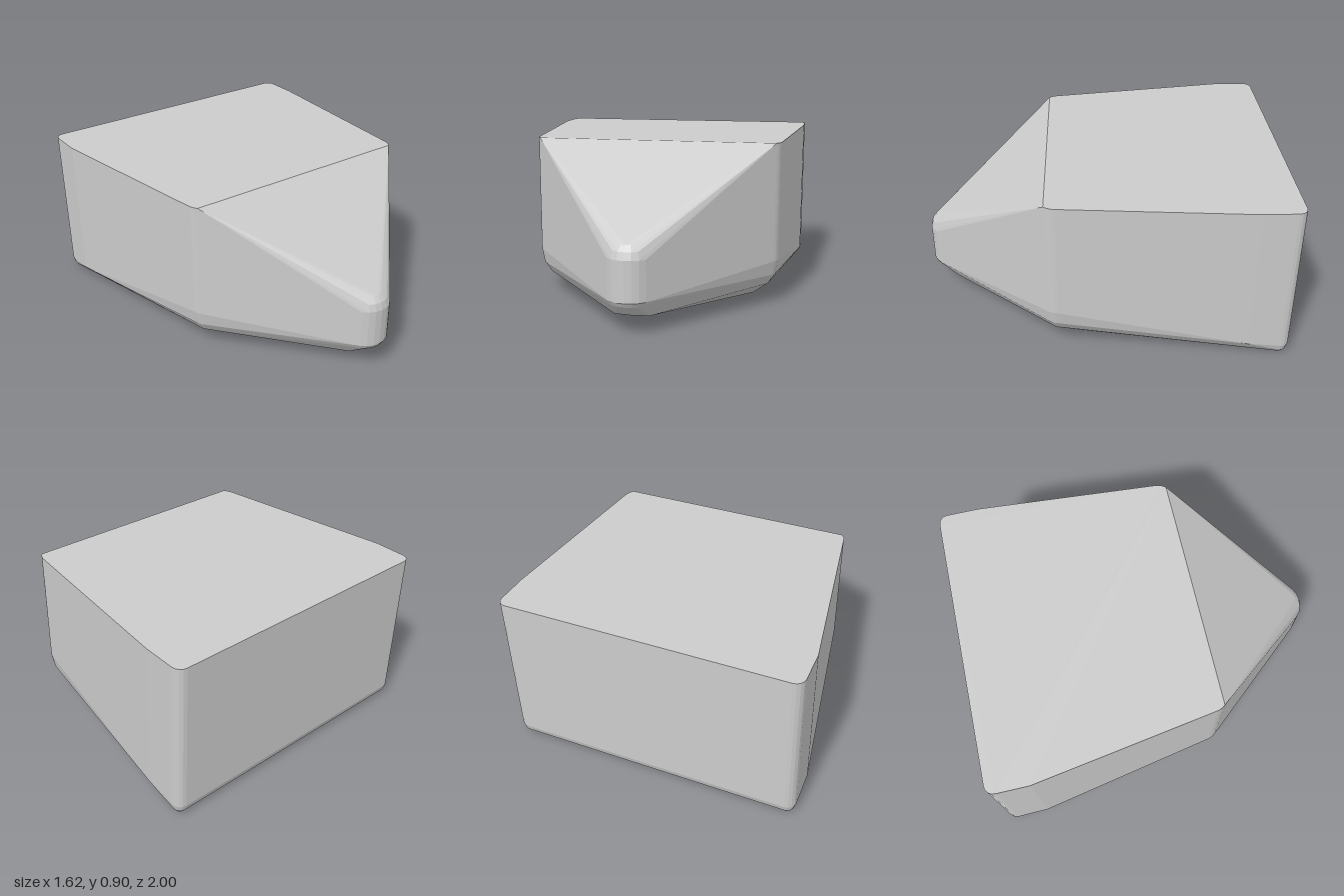
import * as THREE from 'three';
import { ConvexGeometry } from 'three/addons/geometries/ConvexGeometry.js';

export function createModel() {
  const points = [];
  const add = (x, y, z) => points.push(new THREE.Vector3(x, y, z));

  // Rounded vertical corner: rings of [height, radius]; angles run from +x towards +z
  function corner(cx, cz, from, to, rings, steps = 4) {
    for (const [y, r] of rings) {
      for (let i = 0; i <= steps; i++) {
        const a = THREE.MathUtils.degToRad(from + (to - from) * i / steps);
        add(cx + r * Math.cos(a), y, cz + r * Math.sin(a));
      }
    }
  }

  // Back corners and the short straight sides in front of them
  const backRings = [[0.9, 0.05], [0.06, 0.05], [0.025, 0.04], [0, 0.02]];
  corner(0.76, -0.95, 0, -90, backRings);
  corner(-0.76, -0.95, 180, 270, backRings);
  for (const s of [-1, 1]) {
    add(s * 0.81, 0.9, -0.77);
    add(s * 0.81, 0.08, -0.77);
  }

  // Shoulders, where the sides turn in towards the nose
  const shoulderRings = [[0.9, 0.1], [0.25, 0.1], [0.17, 0.085], [0.11, 0.045]];
  corner(0.63, 0.24, 4, 41, shoulderRings);
  corner(-0.55, 0.235, 171, 140, shoulderRings);

  // Nose, rounded above and below
  corner(0.035, 0.87, 41, 140,
    [[0.465, 0.09], [0.435, 0.117], [0.395, 0.13], [0.18, 0.13], [0.155, 0.115]], 6);

  // Underside, rising gently towards the nose
  add(-0.45, 0.005, 0.1);
  add(0.58, 0.005, 0.1);
  add(-0.05, 0.08, 0.86);
  add(0.04, 0.08, 0.87);
  add(0.13, 0.08, 0.86);

  const body = new THREE.Mesh(
    new ConvexGeometry(points),
    new THREE.MeshStandardMaterial({ color: 0xcccccc, flatShading: true })
  );
  body.name = 'wedgeBody';

  const group = new THREE.Group();
  group.name = 'wedgeBlock';
  group.add(body);
  return group;
}
